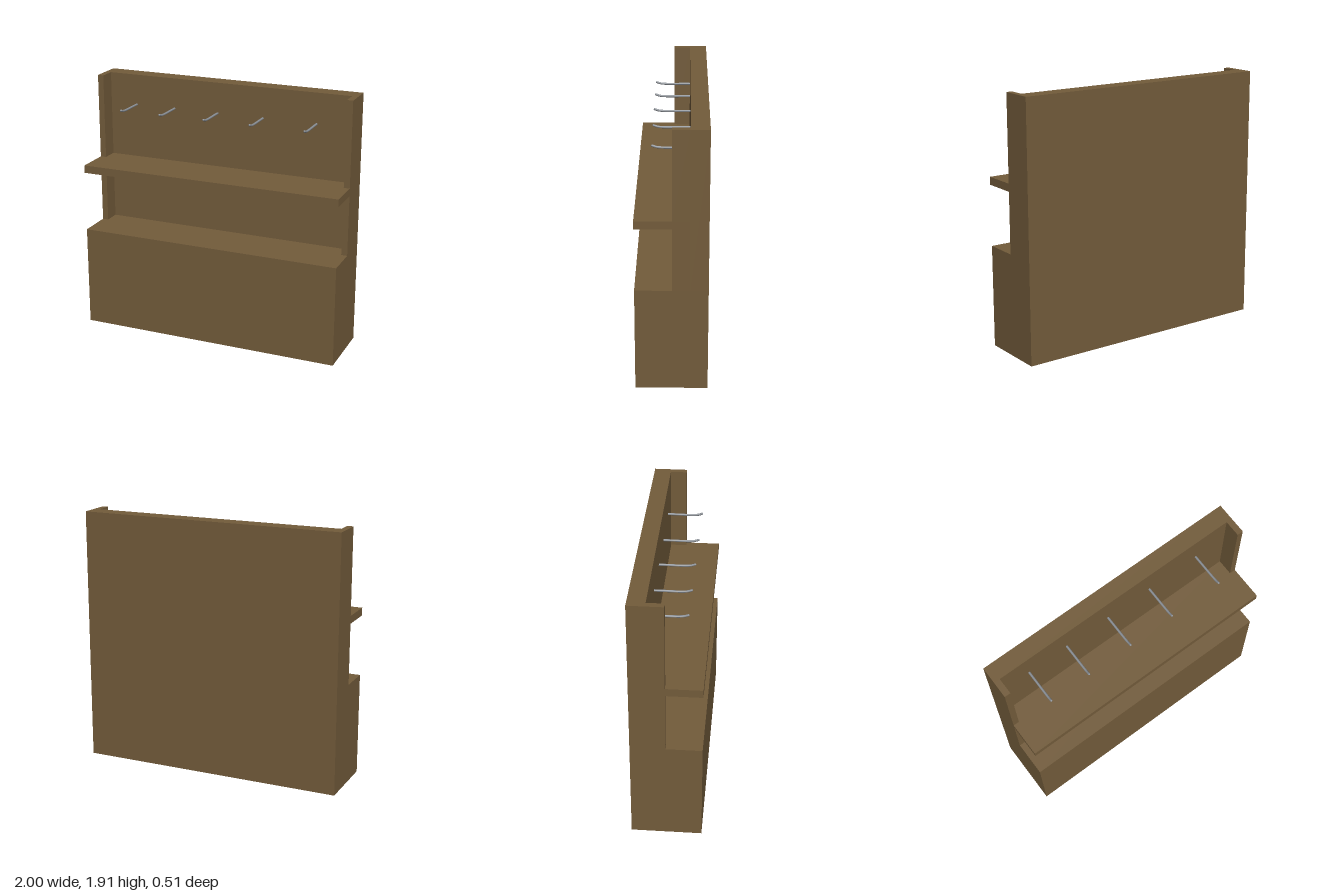
import * as THREE from 'three';

export function createModel() {
  const model = new THREE.Group();
  model.name = 'hallShelfUnit';

  const wood = new THREE.MeshStandardMaterial({ color: 0x735c3b });
  wood.name = 'brown wood';
  const metal = new THREE.MeshStandardMaterial({ color: 0x8b9096 });
  metal.name = 'grey metal';

  // Box given by its lower and upper corners
  const block = (name, [x0, y0, z0], [x1, y1, z1]) => {
    const mesh = new THREE.Mesh(new THREE.BoxGeometry(x1 - x0, y1 - y0, z1 - z0), wood);
    mesh.position.set((x0 + x1) / 2, (y0 + y1) / 2, (z0 + z1) / 2);
    mesh.name = name;
    model.add(mesh);
  };

  const back = -0.253, panelFront = -0.127, postFront = -0.005, front = 0.253;
  const baseTop = 0.763, shelfBottom = 1.217, shelfTop = 1.275, top = 1.915;

  block('baseCabinet', [-1, 0, back], [1, baseTop, front]);
  block('backPanel', [-1, baseTop, back], [1, top, panelFront]);
  block('shelf', [-1, shelfBottom, panelFront], [1, shelfTop, front]);

  // Side posts below and above the shelf
  for (const [label, x0, x1] of [['left', 0.955, 1], ['right', -1, -0.955]]) {
    block(label + 'LowerPost', [x0, baseTop, panelFront], [x1, shelfBottom, postFront]);
    block(label + 'UpperPost', [x0, shelfTop, panelFront], [x1, top, postFront]);
  }

  // Coat hooks: straight pegs with upturned, rounded tips
  const path = new THREE.CatmullRomCurve3([
    [1.684, -0.13], [1.684, -0.06], [1.683, 0.02], [1.684, 0.07], [1.688, 0.105], [1.697, 0.132],
  ].map(([y, z]) => new THREE.Vector3(0, y, z)));
  const pegGeometry = new THREE.TubeGeometry(path, 20, 0.0085, 8);
  const tipGeometry = new THREE.SphereGeometry(0.0085, 8, 6);
  for (const x of [-0.74, -0.424, -0.072, 0.287, 0.698]) {
    const hook = new THREE.Group();
    hook.name = 'coatHook';
    const peg = new THREE.Mesh(pegGeometry, metal);
    peg.name = 'hookPeg';
    const tip = new THREE.Mesh(tipGeometry, metal);
    tip.name = 'hookTip';
    tip.position.copy(path.getPoint(1));
    hook.add(peg, tip);
    hook.position.x = x;
    model.add(hook);
  }

  return model;
}
